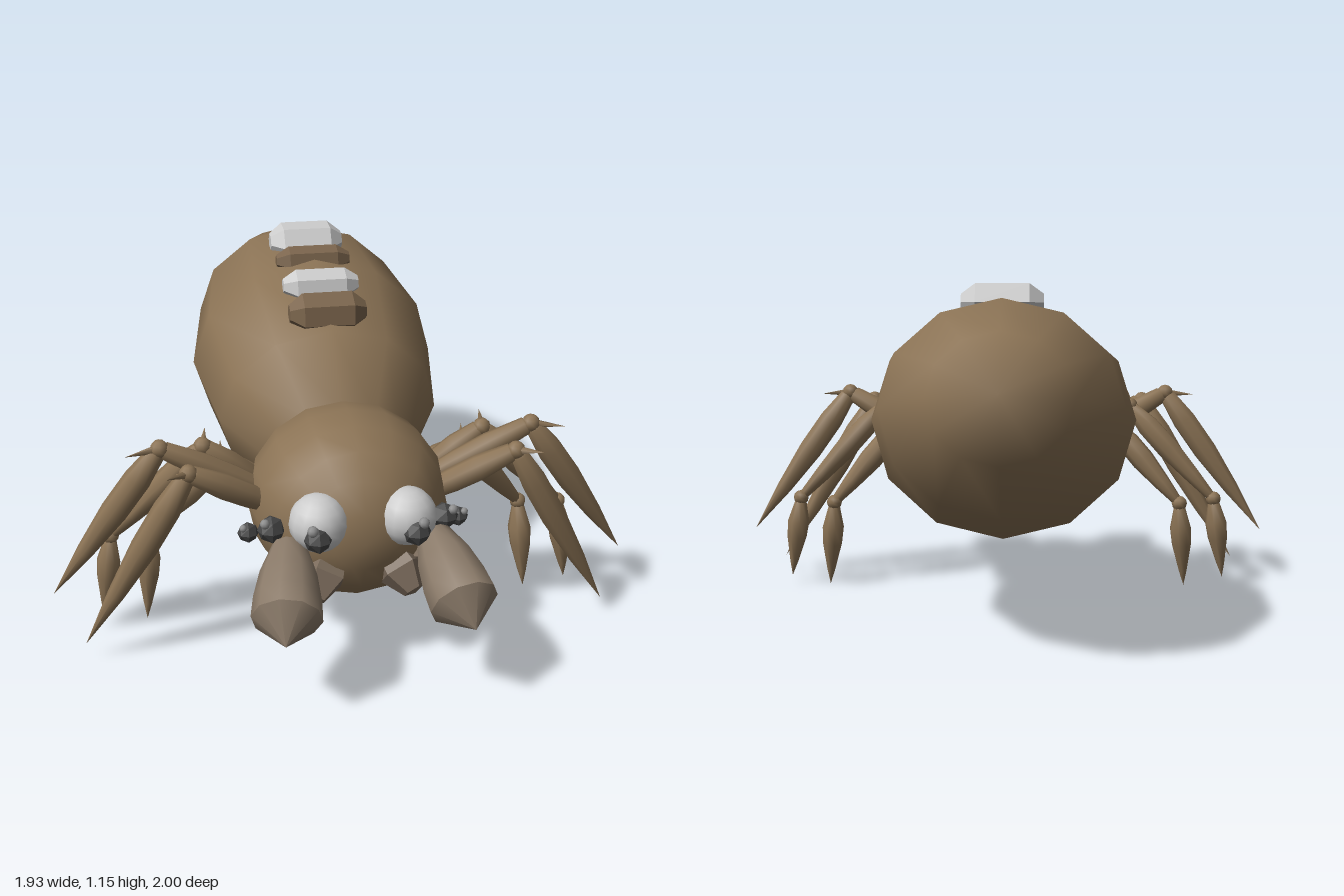
import * as THREE from 'three';
import { toCreasedNormals } from 'three/addons/utils/BufferGeometryUtils.js';

const mat = (color, flat = false) => new THREE.MeshStandardMaterial({ color, flatShading: flat });
const brown = mat(0x8b7355);
const brownFlat = mat(0x7a644c, true);
const tan = mat(0x8a7a69);
const tanFlat = mat(0x7d6d5d, true);
const white = mat(0xe4e4e4);
const paleFlat = mat(0xcccccc, true);
const darkFlat = mat(0x454545, true);
const grey = mat(0x8c8c8c);

const UP = new THREE.Vector3(0, 1, 0);
const V = (p) => new THREE.Vector3(...p);

export function createModel() {
  const model = new THREE.Group();

  const add = (name, geometry, material, pos = [0, 0, 0], parent = model) => {
    const mesh = new THREE.Mesh(geometry, material);
    mesh.name = name;
    mesh.position.set(...pos);
    parent.add(mesh);
    return mesh;
  };

  // Turned shape running from a to b; profile holds [radius, fraction of length]
  const limb = (name, a, b, profile, material, sides, parent, crease) => {
    const from = V(a), dir = V(b).sub(from), length = dir.length();
    let geo = new THREE.LatheGeometry(profile.map(([r, t]) => new THREE.Vector2(r, t * length)), sides);
    if (crease) geo = toCreasedNormals(geo, crease);
    const mesh = add(name, geo, material, a, parent);
    mesh.quaternion.setFromUnitVectors(UP, dir.normalize());
    return mesh;
  };

  const ball = (name, r, pos, material, parent, w = 8, h = 6) =>
    add(name, new THREE.SphereGeometry(r, w, h), material, pos, parent);

  // Abdomen: long egg with its poles at the ends, tail raised
  const abdomenGeo = new THREE.SphereGeometry(1, 12, 6);
  abdomenGeo.scale(0.435, 0.718, 0.39);
  const abdomen = add('abdomen', abdomenGeo, brown, [0, 0.70, -0.30]);
  abdomen.rotation.x = -Math.PI / 2 + Math.atan2(0.16, 0.70);

  // Head and thorax
  const headGeo = new THREE.SphereGeometry(1, 16, 10);
  headGeo.rotateX(Math.PI / 2);
  headGeo.scale(0.325, 0.31, 0.335);
  add('headThorax', headGeo, brown, [0, 0.48, 0.415]);

  // Row of ridges along the back: y, z, half height, half depth, tilt
  const ridges = [
    [0.985, 0.035, 0.065, 0.07, 0.45, brownFlat],
    [1.035, -0.11, 0.05, 0.06, 0.4, paleFlat],
    [1.07, -0.28, 0.05, 0.05, 0.3, brownFlat],
    [1.09, -0.45, 0.068, 0.085, 0.05, paleFlat],
  ];
  const ridgeProfile = [[0, -1], [0.45, -1], [1, -0.65], [1, 0.65], [0.45, 1], [0, 1]];
  for (const [y, z, h, d, tilt, material] of ridges) {
    const geo = new THREE.LatheGeometry(ridgeProfile.map((p) => new THREE.Vector2(...p)), 6);
    geo.rotateZ(Math.PI / 2);
    geo.scale(0.13, h, d);
    add('backRidge', geo, material, [0, y, z]).rotation.x = tilt;
  }

  const spindle = [[0, 0], [0.025, 0.03], [0.042, 0.22], [0.043, 0.45], [0.03, 0.75], [0.018, 0.97], [0, 1]];
  const longTip = [[0, 0], [0.03, 0.03], [0.044, 0.2], [0.044, 0.42], [0.028, 0.7], [0, 1]];
  const footTip = [[0, 0], [0.02, 0.03], [0.04, 0.3], [0.036, 0.5], [0.015, 0.82], [0, 1]];
  const thigh = [[0.03, 0], [0.04, 0.3], [0.042, 0.6], [0.03, 0.95], [0, 1]];

  // Legs, front to back: hip, knee, optional ankle, foot
  const legs = [
    { hip: [0.25, 0.50, 0.47], knee: [0.52, 0.67, 0.555], foot: [0.87, 0.06, 0.50], spine: [0.59, 0.69, 0.63] },
    { hip: [0.27, 0.52, 0.40], knee: [0.60, 0.71, 0.445], foot: [0.965, 0.19, 0.39], spine: [0.71, 0.70, 0.47] },
    { hip: [0.26, 0.50, 0.33], knee: [0.46, 0.67, 0.36], ankle: [0.77, 0.33, 0.28], foot: [0.81, 0.03, 0.29], spine: [0.45, 0.73, 0.35] },
    { hip: [0.23, 0.47, 0.27], knee: [0.40, 0.60, 0.33], ankle: [0.64, 0.32, 0.24], foot: [0.665, 0, 0.28], spine: [0.40, 0.67, 0.32] },
  ];

  for (const s of [1, -1]) {
    const side = s > 0 ? 'left' : 'right';
    const m = ([x, y, z]) => [s * x, y, z];

    for (const { hip, knee, ankle, foot, spine } of legs) {
      const leg = new THREE.Group();
      leg.name = side + 'Leg';
      model.add(leg);
      limb('thigh', m(hip), m(knee), thigh, brown, 8, leg);
      ball('knee', 0.03, m(knee), brown, leg);
      limb('kneeSpine', m(knee), m(spine), [[0.016, 0], [0, 1]], brown, 5, leg);
      if (ankle) {
        limb('shin', m(knee), m(ankle), spindle, brown, 8, leg);
        ball('ankle', 0.028, m(ankle), brown, leg);
        limb('foot', m(ankle), m(foot), footTip, brown, 8, leg);
      } else {
        limb('shin', m(knee), m(foot), longTip, brown, 8, leg);
      }
    }

    // Stub beside the waist
    limb('waistStub', m([0.20, 0.47, 0.25]), m([0.30, 0.42, 0.12]),
      [[0.05, 0], [0.075, 0.5], [0.045, 0.9], [0, 1]], brownFlat, 6);

    // Large front eye with pupil and glint
    const eye = new THREE.Group();
    eye.name = side + 'FrontEye';
    model.add(eye);
    ball('eyeball', 0.093, m([0.138, 0.54, 0.69]), white, eye, 14, 10);
    add('pupil', new THREE.OctahedronGeometry(0.044, 1), darkFlat, m([0.152, 0.522, 0.768]), eye);
    ball('glint', 0.018, m([0.17, 0.558, 0.782]), grey, eye);

    // Small side eyes
    for (const [p, r] of [[[0.275, 0.49, 0.62], 0.045], [[0.34, 0.445, 0.545], 0.034]]) {
      add(side + 'SideEye', new THREE.OctahedronGeometry(r, 1), darkFlat, m(p));
      ball('sideEyeGlint', r * 0.35, m([p[0] + r * 0.5, p[1] + r * 0.7, p[2] + r * 0.5]), grey);
    }

    // Feelers with a blunt pointed club
    limb(side + 'FeelerBase', m([0.17, 0.36, 0.56]), m([0.25, 0.42, 0.72]),
      [[0.04, 0], [0.07, 0.4], [0.06, 1], [0, 1.05]], tanFlat, 6);
    limb(side + 'Feeler', m([0.225, 0.465, 0.67]), m([0.285, 0.305, 1.0]),
      [[0, 0], [0.055, 0.04], [0.088, 0.3], [0.104, 0.55], [0.108, 0.74], [0, 1]], tan, 10, model, 0.75);

    // Jaws
    limb(side + 'Jaw', m([0.08, 0.42, 0.62]), m([0.16, 0.29, 0.74]),
      [[0, 0], [0.06, 0.1], [0.078, 0.55], [0.035, 0.95], [0, 1]], tanFlat, 5);
  }

  return model;
}
